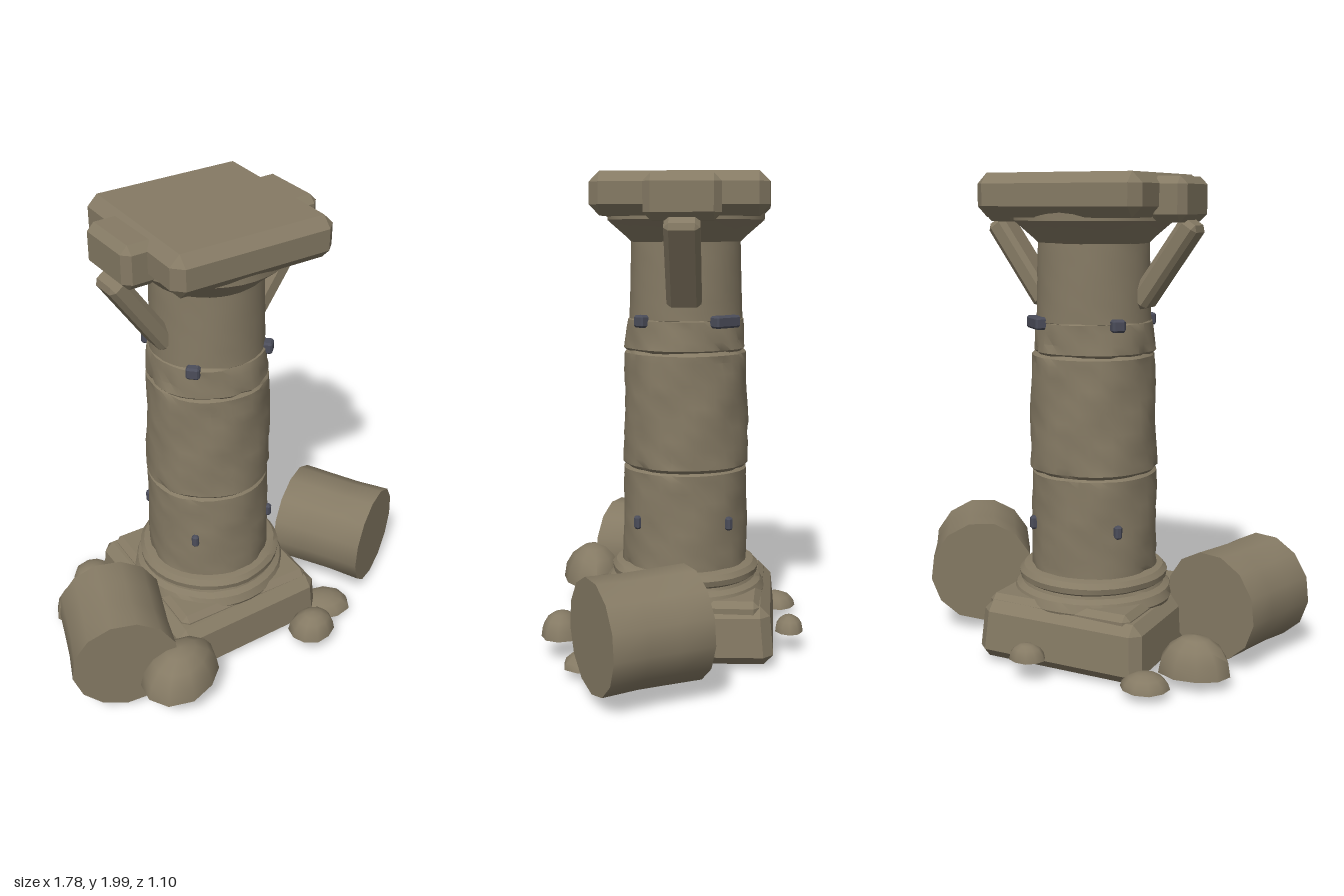
import * as THREE from 'three';
import { toCreasedNormals } from 'three/addons/utils/BufferGeometryUtils.js';
import { ConvexGeometry } from 'three/addons/geometries/ConvexGeometry.js';

const CX = -0.035, CZ = -0.048; // column axis

export function createModel() {
  const model = new THREE.Group();
  model.name = 'ruinedColumn';
  const stone = new THREE.MeshStandardMaterial({ color: 0x857a64 });
  stone.name = 'weathered stone';
  const iron = new THREE.MeshStandardMaterial({ color: 0x4b4d5a });
  iron.name = 'dark iron';

  function add(name, geometry, material, x, y, z, rx = 0, ry = 0, rz = 0) {
    const mesh = new THREE.Mesh(geometry, material);
    mesh.name = name;
    mesh.position.set(x, y, z);
    mesh.rotation.set(rx, ry, rz);
    model.add(mesh);
    return mesh;
  }

  // Box with all edges and corners cut off
  function cutBox(w, h, d, b, taper = 1) {
    const points = [];
    for (const sx of [-1, 1]) for (const sy of [-1, 1]) for (const sz of [-1, 1]) {
      const k = sy > 0 ? taper : 1;
      const X = w / 2 * k, Y = h / 2, Z = d / 2 * k;
      points.push(
        new THREE.Vector3(sx * X, sy * (Y - b), sz * (Z - b)),
        new THREE.Vector3(sx * (X - b), sy * Y, sz * (Z - b)),
        new THREE.Vector3(sx * (X - b), sy * (Y - b), sz * Z));
    }
    return new ConvexGeometry(points);
  }

  // Round stone from a profile, with waves and chips cut into its side
  function wornRound(profile, chip, seed, segments = 36) {
    const geo = new THREE.LatheGeometry(profile.map(p => new THREE.Vector2(...p)), segments);
    const pos = geo.attributes.position;
    for (let i = 0; i < pos.count; i++) {
      const x = pos.getX(i), y = pos.getY(i), z = pos.getZ(i);
      const a = Math.atan2(z, x);
      const wave = Math.sin(3 * a + seed + y * 7) * Math.cos(2 * a - seed * 2 + y * 11);
      const nick = Math.sin(7 * a + seed * 3 + y * 23) * Math.sin(4 * a - y * 31 + seed);
      const k = 1 + chip * (0.5 * wave - 1.6 * Math.max(0, nick - 0.45));
      pos.setXYZ(i, x * k, y, z * k);
    }
    return toCreasedNormals(geo, 0.55);
  }

  // Shaft section with softened rims
  function shaft(name, y0, y1, r0, r1, chip, seed) {
    const profile = [[0, y0], [r0 - 0.014, y0], [r0, y0 + 0.014]];
    const rows = Math.max(3, Math.round((y1 - y0) / 0.045));
    for (let i = 1; i < rows; i++) {
      const t = i / rows;
      profile.push([r0 + (r1 - r0) * t, y0 + (y1 - y0) * t]);
    }
    profile.push([r1, y1 - 0.014], [r1 - 0.014, y1], [0, y1]);
    add(name, wornRound(profile, chip, seed), stone, CX, 0, CZ);
  }

  // Plinth
  add('plinth', cutBox(0.73, 0.24, 0.77, 0.04, 0.97), stone, -0.045, 0.138, -0.045, 0.02, -0.03, 0.012);
  add('plinthStep', cutBox(0.64, 0.1, 0.66, 0.025), stone, -0.03, 0.235, -0.05, 0.015, -0.05, 0);

  // Base mouldings
  add('baseMoulding', wornRound([
    [0, 0.24], [0.33, 0.24], [0.34, 0.265], [0.325, 0.3], [0.3, 0.315], [0.295, 0.327],
    [0.31, 0.337], [0.313, 0.36], [0.295, 0.38], [0.26, 0.388], [0, 0.388],
  ], 0.02, 1), stone, CX, 0, CZ);

  // Shaft
  shaft('lowerShaft', 0.37, 0.802, 0.265, 0.26, 0.035, 0.4);
  shaft('middleShaft', 0.798, 1.288, 0.266, 0.253, 0.045, 2.1);
  shaft('upperShaft', 1.28, 1.425, 0.252, 0.24, 0.06, 3.7);
  shaft('neck', 1.4, 1.75, 0.236, 0.226, 0.01, 5.2);

  // Flared capital and top slab
  add('capital', wornRound([
    [0, 1.72], [0.225, 1.725], [0.25, 1.75], [0.325, 1.815], [0.325, 1.85], [0, 1.85],
  ], 0.01, 2), stone, CX, 0, CZ);
  add('topSlab', cutBox(0.7, 0.17, 0.7, 0.042), stone, -0.027, 1.913, -0.045, 0, -0.03, 0);

  // Side blocks and sloping braces under the slab
  for (const s of [-1, 1]) {
    add('sideBlock', cutBox(0.15, 0.175, 0.3, 0.03), stone, -0.04 + s * 0.36, 1.897, -0.052);
    add('brace', cutBox(0.085, 0.4, 0.14, 0.02), stone, -0.037 + s * 0.315, 1.645, -0.052, 0, 0, -s * 0.6);
  }

  // Iron clamps and pegs on the diagonals
  for (const sx of [-1, 1]) for (const sz of [-1, 1]) {
    const turn = Math.atan2(sx, sz);
    const wide = sx > 0 && sz < 0 ? 0.13 : 0.055;
    add('clamp', cutBox(wide, 0.05, 0.06, 0.008), iron, CX + sx * 0.172, 1.41, CZ + sz * 0.165, 0, turn, 0);
    add('peg', cutBox(0.03, 0.055, 0.04, 0.008), iron, CX + sx * 0.186, 0.58, CZ + sz * 0.184, 0, turn, 0);
  }

  // Fallen drums lying on their sides
  function fallenDrum(x, y, z, length, turn) {
    const r = 0.225, h = length / 2;
    const profile = [[0, -h], [r, -h], [r * 0.985, -h * 0.3], [r * 0.975, h * 0.3], [r, h], [0, h]];
    const geo = new THREE.LatheGeometry(profile.map(p => new THREE.Vector2(...p)), 13);
    geo.rotateX(Math.PI / 2);
    add('fallenDrum', toCreasedNormals(geo, 0.8), stone, x, y, z, 0, turn, 0);
  }
  fallenDrum(-0.62, 0.255, 0.135, 0.39, -0.35);
  fallenDrum(0.585, 0.275, 0.09, 0.41, 0.5);

  // Domed rubble with flat undersides: x, bottom, z, width, height, depth, turn
  [
    [-0.475, 0.14, 0.405, 0.37, 0.17, 0.28, 0.2],
    [0.355, 0.045, 0.32, 0.25, 0.06, 0.2, -0.3],
    [0.18, 0.1, 0.46, 0.21, 0.1, 0.18, 0],
    [-0.565, 0.06, -0.265, 0.3, 0.15, 0.23, 0],
    [-0.43, 0.045, -0.455, 0.19, 0.06, 0.17, 0.2],
    [0.06, 0.095, -0.495, 0.15, 0.065, 0.12, 0],
  ].forEach(([x, y, z, w, h, d, turn], n) => {
    const geo = new THREE.SphereGeometry(1, 10, 8);
    const pos = geo.attributes.position;
    for (let i = 0; i < pos.count; i++) {
      const px = pos.getX(i), py = pos.getY(i), pz = pos.getZ(i);
      const k = 1 + 0.06 * Math.sin(px * 3 + n * 2) * Math.cos(pz * 4 + n);
      pos.setXYZ(i, px * k * w / 2, (py < 0 ? py * 0.06 : py) * h, pz * k * d / 2);
    }
    add('rubble', toCreasedNormals(geo, 0.9), stone, x, y, z, 0, turn, 0);
  });

  return model;
}
